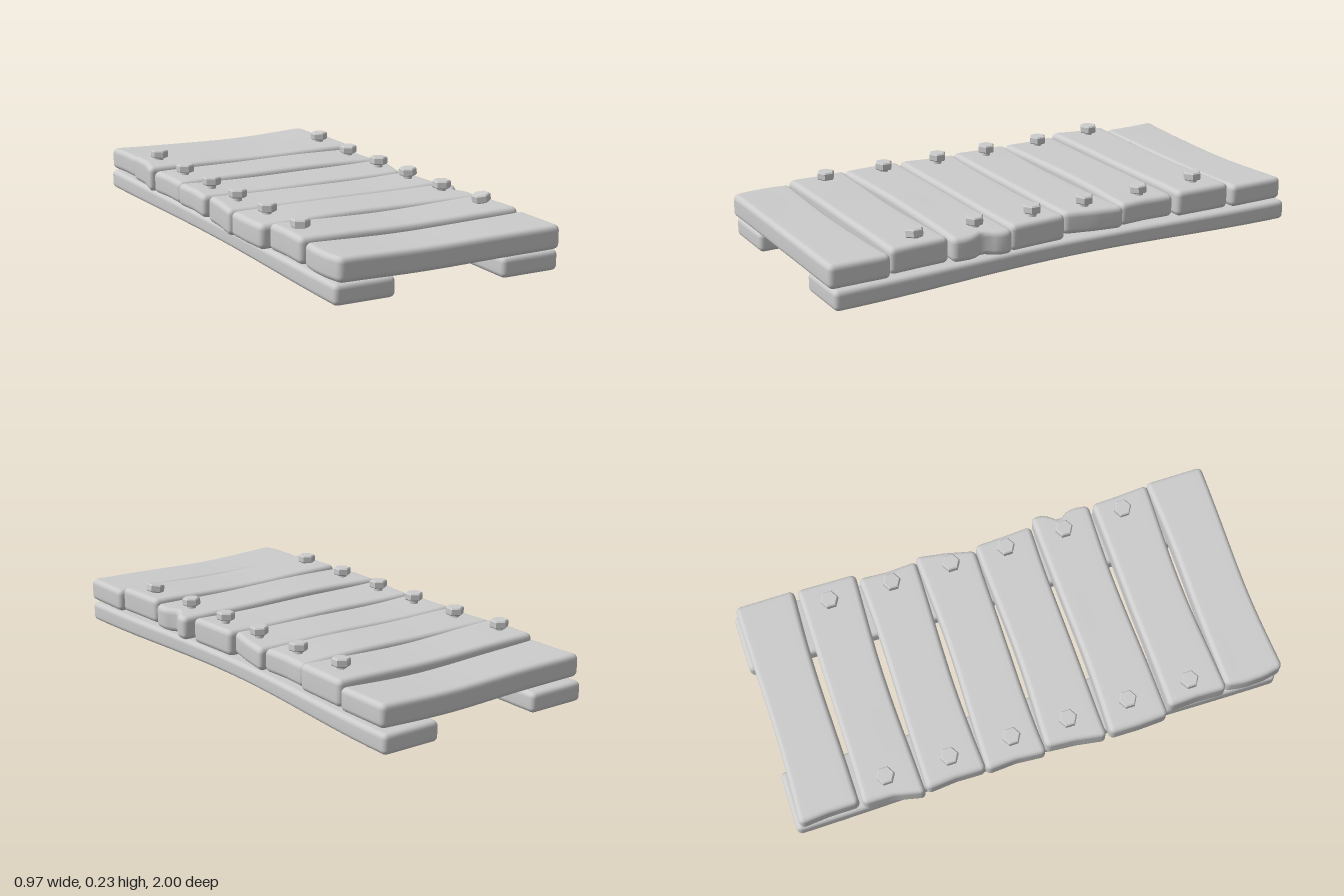
import * as THREE from 'three';
import { mergeVertices } from 'three/addons/utils/BufferGeometryUtils.js';

const material = new THREE.MeshStandardMaterial({ color: 0xcccccc });

// Grid lines across one axis: dense in the rounded rims, even in between
function gridLines(half, r, inner) {
  const lines = [-half, -half + r * 0.35, -half + r * 0.7];
  for (let i = 0; i <= inner; i++) lines.push(-(half - r) + (2 * (half - r) * i) / inner);
  return [...lines, half - r * 0.7, half - r * 0.35, half];
}

// Finely divided box with rounded edges, then bent by a rule
function softBox(half, r, inner, bend) {
  const lines = half.map((h, a) => gridLines(h, r, inner[a]));
  const n = lines.map((l) => l.length - 1);
  let geo = new THREE.BoxGeometry(1, 1, 1, n[0], n[1], n[2]);
  geo.deleteAttribute('uv');
  geo.deleteAttribute('normal');
  geo = mergeVertices(geo, 1e-5);
  const pos = geo.attributes.position;
  const p = new THREE.Vector3(), core = new THREE.Vector3();
  const limit = new THREE.Vector3(...half).subScalar(r);
  for (let i = 0; i < pos.count; i++) {
    p.fromBufferAttribute(pos, i);
    p.fromArray(p.toArray().map((v, a) => lines[a][Math.round((v + 0.5) * n[a])]));
    core.copy(p).clamp(limit.clone().negate(), limit);
    p.sub(core).setLength(r).add(core);
    bend(p);
    pos.setXYZ(i, p.x, p.y, p.z);
  }
  geo.computeVertexNormals();
  return geo;
}

// Piecewise linear lookup, t from 0 to 1
function sample(list, t) {
  const f = THREE.MathUtils.clamp(t, 0, 1) * (list.length - 1);
  const i = Math.min(Math.floor(f), list.length - 2);
  return THREE.MathUtils.lerp(list[i], list[i + 1], f - i);
}

function addMesh(parent, name, geo) {
  const mesh = new THREE.Mesh(geo, material);
  mesh.name = name;
  parent.add(mesh);
  return mesh;
}

// Planks back to front: centre z, bottom, top, end outlines from back to front, sag
const planks = [
  { z: -0.86, y0: 0.09, y1: 0.18, left: [-0.45, -0.44, -0.44], right: [0.48, 0.48], sag: 0.012 },
  { z: -0.61, y0: 0.09, y1: 0.193, left: [-0.455, -0.457, -0.485], right: [0.47, 0.465], sag: 0.006 },
  { z: -0.36, y0: 0.09, y1: 0.18, left: [-0.472, -0.462, -0.465], right: [0.447, 0.44, 0.447], sag: -0.005 },
  { z: -0.115, y0: 0.09, y1: 0.18, left: [-0.472, -0.465, -0.475], right: [0.465, 0.445, 0.415], sag: 0.006 },
  { z: 0.13, y0: 0.078, y1: 0.18, left: [-0.455, -0.465, -0.485], right: [0.435, 0.44, 0.447], sag: 0.006 },
  { z: 0.38, y0: 0.085, y1: 0.18, left: [-0.483, -0.485, -0.48], right: [0.48, 0.48, 0.478, 0.445, 0.445, 0.466, 0.47, 0.466, 0.46], sag: -0.004 },
  { z: 0.63, y0: 0.09, y1: 0.19, left: [-0.455, -0.45, -0.455], right: [0.455, 0.46, 0.468], sag: 0.008 },
  { z: 0.875, y0: 0.085, y1: 0.177, left: [-0.44, -0.452, -0.45, -0.435], right: [0.48, 0.48], sag: 0.008 },
];

function plankGeometry(d, index) {
  const h = 0.46, hz = 0.121, hy = (d.y1 - d.y0) / 2;
  return softBox([h, hy, hz], 0.022, [20, 2, 8], (p) => {
    const s = (p.x + h) / (2 * h);
    const t = (p.z + hz) / (2 * hz);
    const mid = Math.sin(Math.PI * THREE.MathUtils.clamp(s, 0, 1));
    const wave = Math.sin(s * Math.PI * 2 + index * 1.3);
    p.x = THREE.MathUtils.lerp(sample(d.left, t), sample(d.right, t), s);
    p.z = d.z + p.z * (1 - 0.07 * mid) + 0.003 * wave;
    p.y = (d.y0 + d.y1) / 2 + p.y - d.sag * mid + 0.003 * mid * wave;
  });
}

// Hexagonal bolt head on a short shank
function makeBolt(name, x, y, z, tilt) {
  const bolt = new THREE.Group();
  bolt.name = name;
  addMesh(bolt, 'boltShank', new THREE.CylinderGeometry(0.017, 0.019, 0.05, 8).translate(0, -0.01, 0));
  const profile = [[0, 0.012], [0.032, 0.012], [0.036, 0.016], [0.036, 0.038], [0.031, 0.043], [0, 0.043]];
  const head = new THREE.LatheGeometry(profile.map((q) => new THREE.Vector2(...q)), 6).toNonIndexed();
  head.computeVertexNormals();
  addMesh(bolt, 'boltHead', head);
  bolt.position.set(x, y, z);
  bolt.rotation.set(tilt[0], 0, tilt[1]);
  return bolt;
}

export function createModel() {
  const model = new THREE.Group();
  model.name = 'plankWalkway';

  // Two long rails; the one on +x is drawn in along its middle
  for (const side of [-1, 1]) {
    const geo = softBox([0.122, 0.039, 0.99], 0.02, [4, 2, 24], (p) => {
      const mid = Math.pow(Math.cos((p.z / 0.99) * Math.PI * 0.5), 2);
      const outer = p.x * side > 0;
      if (side > 0) p.x -= mid * (outer ? 0.045 : 0.02);
      else p.x += mid * (outer ? 0.012 : -0.008);
      p.x += side > 0 ? 0.363 : -0.323;
      p.y = 0.04 + p.y * (1 - 0.13 * mid);
      p.z -= 0.01;
    });
    addMesh(model, side > 0 ? 'leftRail' : 'rightRail', geo);
  }

  // Cross planks
  planks.forEach((d, i) => addMesh(model, 'plank' + (i + 1), plankGeometry(d, i)));

  // Bolts on the six inner planks
  const boltZ = [-0.615, -0.36, -0.11, 0.12, 0.365, 0.62];
  const tilts = [[0, 0.05], [0.05, 0.04], [0, -0.03], [0, 0.05], [0.04, 0], [0, 0.17]];
  boltZ.forEach((z, i) => {
    const y = i === 0 ? 0.19 : 0.18;
    model.add(makeBolt('rightBolt' + (i + 1), -0.383, y, z, [0, 0]));
    model.add(makeBolt('leftBolt' + (i + 1), i === 5 ? 0.393 : 0.377, y, z, tilts[i]));
  });
  return model;
}
